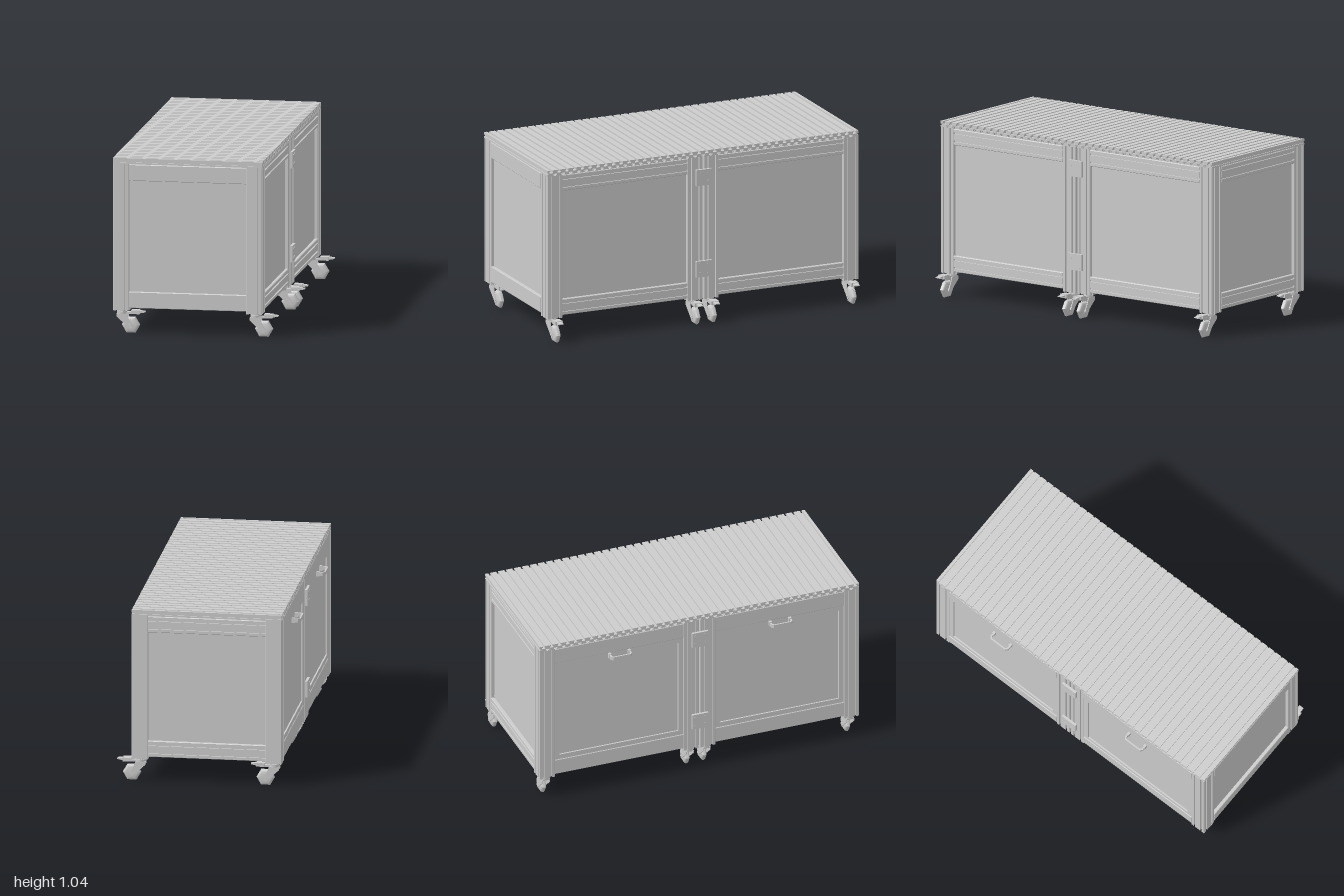
import * as THREE from 'three';
import { toCreasedNormals } from 'three/addons/utils/BufferGeometryUtils.js';

const mat = new THREE.MeshStandardMaterial({ color: 0xcccccc, side: THREE.DoubleSide });
const X0 = -0.465, X1 = 0.42, XC = (X0 + X1) / 2; // frame limits in x
const POST = 0.096, RAIL_W = 0.047, RAIL_H = 0.096;
const LOW = 0.156, HIGH = 0.912;                  // undersides of the rails

function add(parent, name, geo, x = 0, y = 0, z = 0) {
  const m = new THREE.Mesh(geo, mat);
  m.name = name;
  m.position.set(x, y, z);
  parent.add(m);
  return m;
}
const box = (p, name, sx, sy, sz, x, y, z) => add(p, name, new THREE.BoxGeometry(sx, sy, sz), x, y, z);
const polygon = pts => new THREE.Shape(pts.map(p => new THREE.Vector2(...p)));

// T-slot cross-section with chamfered corners; counts = slots on the bottom, right, top and left sides
function slotShape(w, h, counts) {
  const pts = [], c = 0.003;
  const slot = [[-0.005, 0], [-0.005, 0.004], [-0.01, 0.004], [-0.006, 0.012],
    [0.006, 0.012], [0.01, 0.004], [0.005, 0.004], [0.005, 0]];
  const corners = [[-w / 2, -h / 2], [w / 2, -h / 2], [w / 2, h / 2], [-w / 2, h / 2]];
  corners.forEach(([cx, cy], s) => {
    const len = s % 2 ? h : w, dx = [1, 0, -1, 0][s], dy = [0, 1, 0, -1][s];
    pts.push([cx + dx * c, cy + dy * c]);
    for (let i = 0; i < counts[s]; i++) {
      const mid = (i + 0.5) / counts[s] * len;
      for (const [a, d] of slot) pts.push([cx + dx * (mid + a) - dy * d, cy + dy * (mid + a) + dx * d]);
    }
    pts.push([cx + dx * (len - c), cy + dy * (len - c)]);
  });
  return polygon(pts);
}

// Centred extrusion along z
function bar(shape, length) {
  const g = new THREE.ExtrudeGeometry(shape, { depth: length, bevelEnabled: false });
  return g.translate(0, 0, -length / 2);
}

const postGeo = bar(slotShape(POST, POST, [2, 2, 2, 2]), 0.87).rotateX(-Math.PI / 2);
const postX = [X0 + POST / 2, X1 - POST / 2];

// Swivel caster with six-sided wheel, trailing towards +x
const wheelGeo = toCreasedNormals(new THREE.LatheGeometry(
  [[0, -0.016], [0.034, -0.017], [0.047, -0.013], [0.054, -0.005], [0.054, 0.005],
    [0.047, 0.013], [0.034, 0.017], [0, 0.016]].map(p => new THREE.Vector2(...p)),
  6, Math.PI / 2).rotateX(Math.PI / 2), 0.7);
const forkShape = polygon([[-0.03, 0.118], [0.03, 0.118], [0.042, 0.085],
  [0.066, 0.04], [0.056, 0.03], [0.044, 0.033], [-0.03, 0.1]]);
const pedalTip = polygon([[0.1, 0.119], [0.138, 0.126], [0.138, 0.131], [0.1, 0.136]]);

function caster(parent, x, z) {
  const g = new THREE.Group();
  g.name = 'caster';
  g.position.set(x, 0, z);
  add(g, 'stem', new THREE.CylinderGeometry(0.022, 0.022, 0.014, 12), 0, 0.136, 0);
  add(g, 'swivelHead', new THREE.CylinderGeometry(0.03, 0.03, 0.016, 12), 0, 0.124, 0);
  for (const s of [-1, 1]) add(g, 'forkArm', bar(forkShape, 0.005), 0, 0, s * 0.022);
  box(g, 'forkBridge', 0.055, 0.006, 0.046, 0, 0.115, 0);
  add(g, 'wheel', wheelGeo, 0.052, 0.05, 0);
  add(g, 'axle', new THREE.CylinderGeometry(0.007, 0.007, 0.054, 8).rotateX(Math.PI / 2), 0.052, 0.047, 0);
  box(g, 'brakeArm', 0.03, 0.012, 0.03, 0.04, 0.12, 0);
  box(g, 'brakePedal', 0.05, 0.022, 0.048, 0.08, 0.127, 0);
  add(g, 'brakePedalTip', bar(pedalTip, 0.03));
  parent.add(g);
}

// Framed door with a bow handle on the -x side
function door(parent, zc, width) {
  const g = new THREE.Group();
  g.name = 'door';
  g.position.z = zc;
  const edge = 0.03, y0 = LOW + RAIL_H, h = HIGH - y0, x = X0 + 0.014;
  for (const y of [y0 + edge / 2, HIGH - edge / 2]) box(g, 'doorRail', 0.02, edge, width, x, y, 0);
  for (const s of [-1, 1]) {
    box(g, 'doorStile', 0.02, h - 2 * edge, edge, x, y0 + h / 2, s * (width - edge) / 2);
  }
  box(g, 'doorPanel', 0.006, h - 2 * edge, width - 2 * edge, X0 + 0.016, y0 + h / 2, 0);
  // Flat bow with chamfered corners, standing on two feet
  const bow = polygon([[0, 0.067], [-0.038, 0.067], [-0.053, 0.054], [-0.053, -0.054],
    [-0.038, -0.067], [0, -0.067], [0, -0.057], [-0.035, -0.057], [-0.044, -0.049],
    [-0.044, 0.049], [-0.035, 0.057], [0, 0.057]]);
  add(g, 'handle', bar(bow, 0.022).rotateX(Math.PI / 2), X0 + 0.004, 0.895, 0);
  for (const s of [-1, 1]) box(g, 'handleFoot', 0.02, 0.03, 0.016, X0 - 0.006, 0.895, s * 0.061);
  parent.add(g);
}

// One cart frame between z0 and z1
function cart(z0, z1) {
  const g = new THREE.Group();
  g.name = 'cart';
  const zc = (z0 + z1) / 2, spanZ = z1 - z0 - 2 * POST, spanX = X1 - X0 - 2 * POST;
  for (const x of postX) {
    for (const z of [z0 + POST / 2, z1 - POST / 2]) {
      add(g, 'post', postGeo, x, 0.14, z);
      caster(g, x, z);
    }
  }
  g.children.filter(m => m.name === 'post').forEach(m => { m.position.y = 0.575; });
  // Rails: the -x and +z outer faces are plain, the rest slotted
  const slotted = slotShape(RAIL_W, RAIL_H, [1, 2, 1, 2]);
  const plain = slotShape(RAIL_W, RAIL_H, [1, 2, 1, 0]);
  for (const y of [LOW + RAIL_H / 2, HIGH + RAIL_H / 2]) {
    add(g, 'sideRail', bar(slotted, spanZ), X1 - RAIL_W / 2, y, zc);
    add(g, 'sideRail', bar(plain, spanZ), X0 + RAIL_W / 2, y, zc);
    add(g, 'endRail', bar(slotted, spanX).rotateY(Math.PI / 2), XC, y, z0 + RAIL_W / 2);
    add(g, 'endRail', bar(plain, spanX).rotateY(Math.PI / 2), XC, y, z1 - RAIL_W / 2);
  }
  // Infill panels set into the middle of the rails, floor lying on the lower rails
  const ph = HIGH - LOW - RAIL_H, py = (HIGH + LOW + RAIL_H) / 2, t = 0.006;
  box(g, 'sidePanel', t, ph, spanZ, X1 - RAIL_W / 2, py, zc);
  for (const z of [z0 + RAIL_W / 2, z1 - RAIL_W / 2]) box(g, 'endPanel', spanX, ph, t, XC, py, z);
  box(g, 'floorPanel', X1 - X0 - RAIL_W, t, z1 - z0 - RAIL_W, XC, LOW + RAIL_H + t / 2, zc);
  door(g, zc, spanZ);
  return g;
}

// Slotted table top, repeated T-slots above and below
function tableTop() {
  const n = 40, pitch = 2 / n, b = 1.01, t = 1.045, pts = [[-1, b]];
  for (let i = 1; i < n; i++) {
    const c = -1 + i * pitch;
    for (const [a, y] of [[-0.005, 0], [-0.005, 0.004], [-0.011, 0.004], [-0.011, 0.013],
      [0.011, 0.013], [0.011, 0.004], [0.005, 0.004], [0.005, 0]]) pts.push([c + a, b + y]);
  }
  // Grooved end faces
  const groove = [[1, 1.02], [0.994, 1.02], [0.994, 1.03], [1, 1.03]];
  pts.push([1, b], ...groove, [1, t]);
  for (let i = n - 1; i >= 0; i--) {
    const c = -1 + (i + 0.5) * pitch;
    for (const [a, y] of [[0.006, 0], [0.006, 0.008], [0.011, 0.008], [0.011, 0.017],
      [-0.011, 0.017], [-0.011, 0.008], [-0.006, 0.008], [-0.006, 0]]) pts.push([c + a, t - y]);
  }
  pts.push([-1, t], ...groove.reverse().map(([z, y]) => [-z, y]));
  return bar(polygon(pts), X1 - X0).rotateY(Math.PI / 2);
}

export function createModel() {
  const model = new THREE.Group();
  model.name = 'slottedWorkbench';
  model.add(cart(0.005, 1), cart(-1, -0.005));
  add(model, 'tableTop', tableTop(), XC, 0, 0);

  // Screwed plates joining the two carts on both sides
  const screwGeo = new THREE.CylinderGeometry(0.009, 0.009, 0.003, 10).rotateZ(Math.PI / 2);
  for (const s of [-1, 1]) {
    for (const y of [0.33, 0.887]) {
      const plate = new THREE.Group();
      plate.name = 'joiningPlate';
      plate.position.set(s > 0 ? X1 : X0, y, 0);
      box(plate, 'plate', 0.015, 0.097, 0.1, s * 0.0075, 0, 0);
      for (const a of [-1, 1]) {
        for (const c of [-1, 1]) add(plate, 'screw', screwGeo, s * 0.015, a * 0.026, c * 0.028);
      }
      model.add(plate);
    }
  }
  return model;
}
